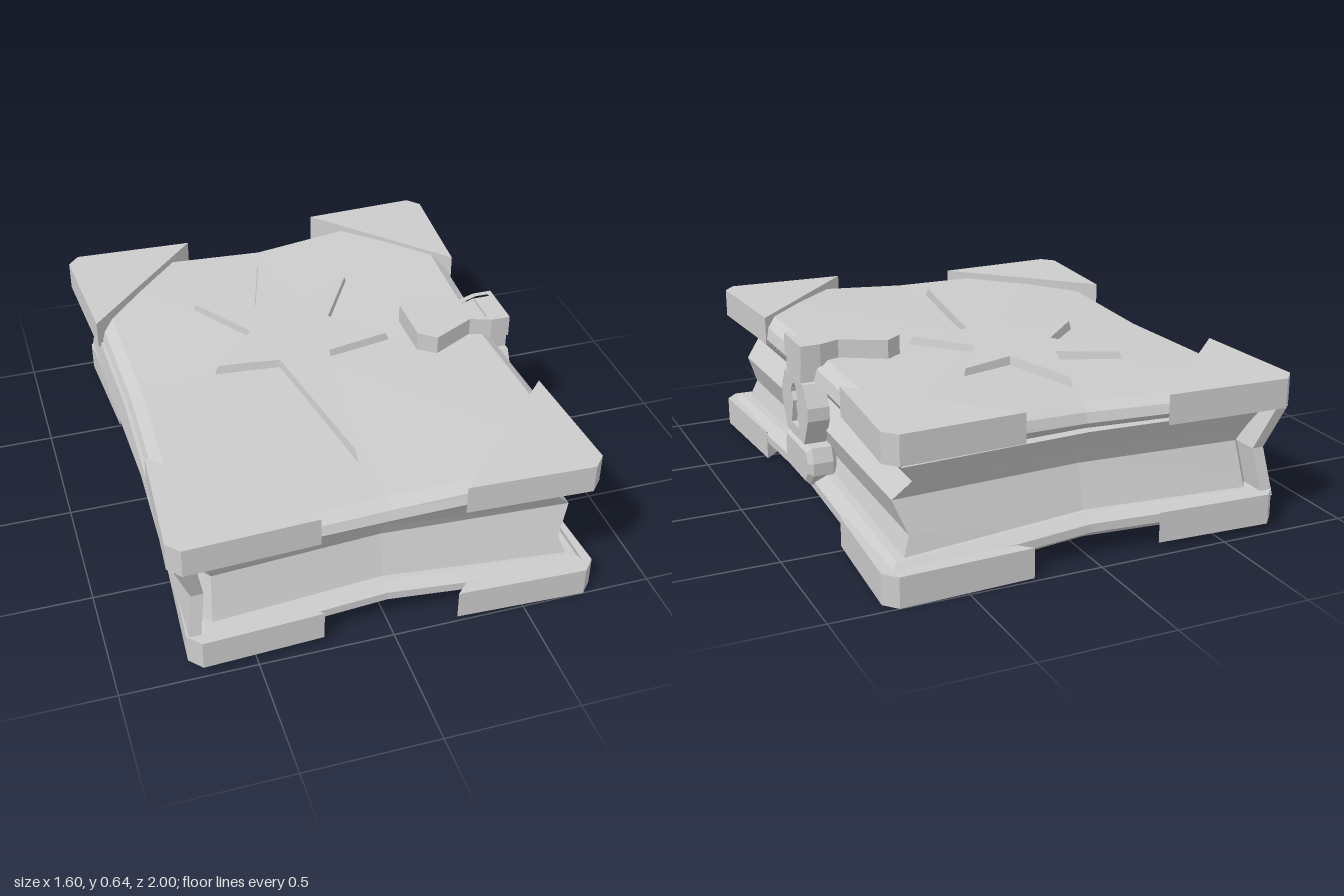
import * as THREE from 'three';

const material = new THREE.MeshStandardMaterial({ color: 0xcccccc, flatShading: true });

function addMesh(parent, name, geometry) {
  const mesh = new THREE.Mesh(geometry, material);
  mesh.name = name;
  parent.add(mesh);
  return mesh;
}

// Closed solid through horizontal rings of [x, y, z], listed from low to high.
function loft(rings) {
  const r0 = rings[0], n = r0.length, pos = [];
  let area = 0;
  r0.forEach((p, i) => { const q = r0[(i + 1) % n]; area += p[0] * q[2] - q[0] * p[2]; });
  const rs = area > 0 ? rings : rings.map(r => [...r].reverse());
  const tri = (a, b, c) => pos.push(...a, ...b, ...c);
  for (let k = 0; k + 1 < rs.length; k++) {
    for (let i = 0; i < n; i++) {
      const j = (i + 1) % n;
      tri(rs[k][i], rs[k + 1][j], rs[k][j]);
      tri(rs[k][i], rs[k + 1][i], rs[k + 1][j]);
    }
  }
  const mean = r => [0, 1, 2].map(a => r.reduce((s, p) => s + p[a], 0) / n);
  const low = rs[0], high = rs[rs.length - 1], cl = mean(low), ch = mean(high);
  for (let i = 0; i < n; i++) {
    const j = (i + 1) % n;
    tri(cl, low[i], low[j]);
    tri(ch, high[j], high[i]);
  }
  const g = new THREE.BufferGeometry();
  g.setAttribute('position', new THREE.Float32BufferAttribute(pos, 3));
  g.computeVertexNormals();
  return g;
}

// Cover outline with pinched sides; layers are [inset, height, tilt along x].
function cover(b, layers, bow) {
  return loft(layers.map(([d, y, tilt]) => {
    const L = b.left + d, R = b.right - d, F = b.front - d, B = b.back + d;
    const at = (x, z, sag) => [x, y + tilt * x + sag, z];
    return [
      at(L, B, 0), at(0, B + b.pinchBack, bow), at(R, B, 0), at(R - 0.03, 0, bow),
      at(R, F, 0), at(0, F - b.pinchFront, bow), at(L, F, 0), at(L + 0.025, 0, bow),
    ];
  }));
}

// Triangular corner guard with a clipped outer corner.
function guard([cx, cz, endX, endZ], y0, y1) {
  const sx = Math.sign(cx), sz = Math.sign(cz);
  const plan = [
    [cx, cz - sz * 0.05], [cx - sx * 0.045, cz],
    [endX, cz - sz * 0.02], [cx - sx * 0.03, endZ],
  ];
  return loft([y0, y1].map(y => plan.map(([x, z]) => [x, y, z])));
}

const shapeOf = pts => new THREE.Shape(pts.map(p => new THREE.Vector2(...p)));
const mirrored = half => [...half, ...half.map(([x, y]) => [-x, y]).reverse()];

// Plate that faces +x, drawn in (z, y).
function sidePlate(shape, x0, x1, bevel = 0) {
  const g = new THREE.ExtrudeGeometry(shape, {
    depth: x1 - x0 - bevel, bevelEnabled: bevel > 0, bevelSize: bevel,
    bevelThickness: bevel, bevelOffset: -bevel, bevelSegments: 1,
  });
  return g.rotateY(Math.PI / 2).translate(x0, 0, -0.005);
}

// Plate that faces up, drawn in (x, z).
function flatPlate(shape, y0, y1) {
  const g = new THREE.ExtrudeGeometry(shape, { depth: y1 - y0, bevelEnabled: false });
  return g.rotateX(-Math.PI / 2).translate(0, y0, -0.005);
}

export function createModel() {
  const book = new THREE.Group();
  book.name = 'book';

  // Covers
  addMesh(book, 'topCover', cover(
    { left: -0.76, right: 0.75, front: 0.955, back: -0.94, pinchFront: 0.02, pinchBack: 0.07 },
    [[0.05, 0.45, 0.01], [0, 0.5, 0.02], [0.012, 0.537, 0.03], [0.055, 0.566, 0.035]], -0.014));
  addMesh(book, 'bottomCover', cover(
    { left: -0.71, right: 0.77, front: 0.965, back: -0.965, pinchFront: 0.05, pinchBack: 0.05 },
    [[0.055, 0.042, -0.02], [0, 0.078, -0.02], [0, 0.11, -0.02], [0.04, 0.142, -0.015]], 0.018));

  // Corner guards: corner x, corner z, end along x, end along z
  const topCorners = [[-0.8, -0.965, -0.28, -0.43], [0.78, -0.985, 0.28, -0.46],
    [-0.79, 0.975, -0.26, 0.46], [0.77, 0.995, 0.255, 0.465]];
  const bottomCorners = [[-0.74, -0.98, -0.25, -0.47], [0.795, -1, 0.25, -0.465],
    [-0.74, 0.985, -0.25, 0.47], [0.785, 1, 0.25, 0.47]];
  for (const c of topCorners) {
    const right = c[0] > 0;
    addMesh(book, 'topCornerGuard', guard(c, right ? 0.49 : 0.462, right ? 0.6 : 0.574));
  }
  for (const c of bottomCorners) {
    const right = c[0] > 0;
    addMesh(book, 'bottomCornerGuard', guard(c, right ? 0 : 0.028, right ? 0.113 : 0.143));
  }

  // Page block: height, half depth, fore edge x, spine end x
  const pageRows = [[0.12, 0.91, 0.7, -0.64], [0.2, 0.885, 0.67, -0.635], [0.32, 0.85, 0.715, -0.625],
    [0.39, 0.885, 0.655, -0.65], [0.46, 0.925, 0.705, -0.68]];
  addMesh(book, 'pages', loft(pageRows.map(([y, h, r, l]) => [
    [l, y, -h], [0, y, -h + 0.04], [r, y, -h], [r - 0.02, y, 0], [r, y, h],
    [0, y, h - 0.04], [l, y, h], [l - 0.05, y, h - 0.07], [l - 0.05, y, 0.07 - h],
  ])));

  // Spine: height, outer x, half length
  const spineRows = [[0.12, -0.735, 0.945], [0.3, -0.71, 0.905], [0.47, -0.772, 0.955]];
  addMesh(book, 'spine', loft(spineRows.map(([y, x, h]) => [
    [x, y, -h], [x + 0.025, y, 0], [x, y, h],
    [x + 0.045, y, h], [x + 0.07, y, 0], [x + 0.045, y, -h],
  ])));

  // Raised star on the top cover
  const star = [[-0.04, -0.7], [0.06, -0.38], [0.29, -0.47], [0.13, -0.2], [0.32, 0], [0.06, 0.04],
    [-0.04, 0.7], [-0.15, 0.04], [-0.4, 0], [-0.21, -0.2], [-0.38, -0.47], [-0.14, -0.38]];
  addMesh(book, 'star', loft([[1, 0.53], [0.94, 0.588]].map(([s, y]) => star.map(([x, z]) => {
    const px = -0.04 + (x + 0.04) * s;
    return [px, y + 0.03 * px, -0.1 + (z + 0.1) * s];
  }))));

  // Clasp strap on the top, with a raised rim
  const clasp = new THREE.Group();
  clasp.name = 'clasp';
  book.add(clasp);
  const flip = half => [...half, ...half.map(([x, z]) => [x, -z]).reverse()];
  const strap = flip([[0.39, 0.105], [0.455, 0.155], [0.62, 0.07], [0.7, 0.1], [0.775, 0.1]]);
  const recess = flip([[0.41, 0.095], [0.458, 0.13], [0.62, 0.045], [0.705, 0.078], [0.755, 0.078]]);
  const rim = shapeOf(strap);
  rim.holes.push(new THREE.Path(recess.map(p => new THREE.Vector2(...p))));
  addMesh(clasp, 'strapRim', flatPlate(rim, 0.62, 0.645));
  addMesh(clasp, 'strapBase', flatPlate(shapeOf(strap), 0.56, 0.62));
  addMesh(clasp, 'strapBend', new THREE.BoxGeometry(0.074, 0.15, 0.17).translate(0.737, 0.556, -0.005));

  // Lock plate with a keyhole
  const plate = mirrored([[0.1, 0.265], [0.155, 0.37], [0.155, 0.42], [0.11, 0.5]]);
  const keyhole = mirrored([[0.045, 0.31], [0.018, 0.4], [0.04, 0.43], [0.035, 0.45], [0.008, 0.475]]);
  const front = shapeOf(plate);
  front.holes.push(new THREE.Path(keyhole.map(p => new THREE.Vector2(...p))));
  addMesh(clasp, 'lockPlate', sidePlate(front, 0.755, 0.775));
  addMesh(clasp, 'lockBack', sidePlate(shapeOf(plate), 0.69, 0.755));

  // Catch below the lock plate
  const latch = mirrored([[0.1, 0.1], [0.145, 0.15], [0.15, 0.2], [0.13, 0.255]]);
  addMesh(clasp, 'catch', sidePlate(shapeOf(latch), 0.68, 0.775, 0.018));

  return book;
}
